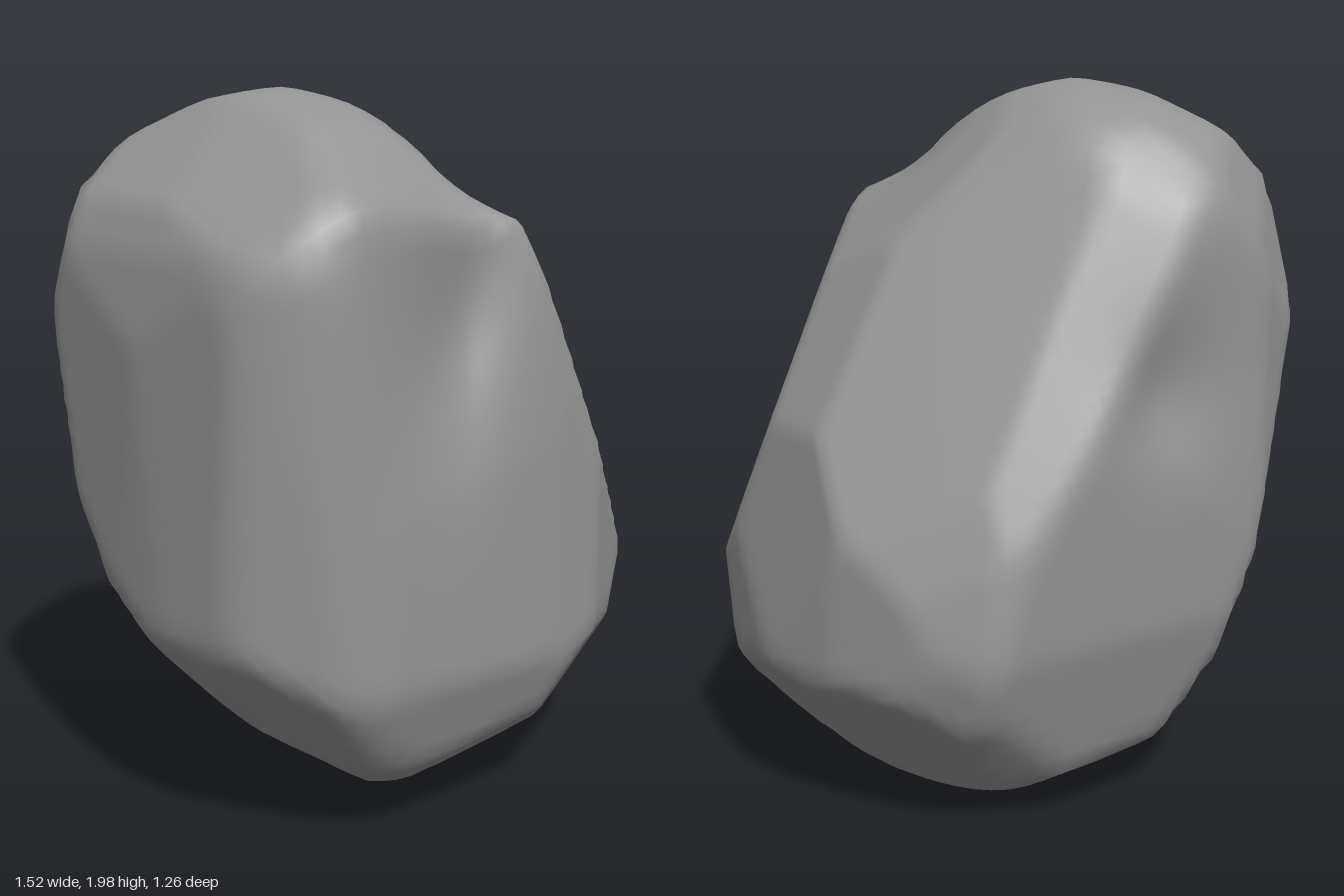
import * as THREE from 'three';
import { mergeVertices } from 'three/addons/utils/BufferGeometryUtils.js';

// The stone is carved by six prismatic cuts. Each cut has a direction
// (azimuth, elevation in degrees) and a convex outline across it, as
// x, y pairs around the stone's middle.
const LENGTHWISE = [0.05, -1, 0.27, -0.97, 0.44, -0.93, 0.76, -0.57, 0.65, 0.07,
  0.38, 0.55, 0.02, 0.96, -0.25, 1, -0.4, 0.965, -0.68, 0.7, -0.73, 0.58,
  -0.77, 0.34, -0.76, -0.44, -0.4, -0.87, -0.22, -0.93];
const CROSSWISE = [-0.09, -1, 0.27, -0.97, 0.36, -0.94, 0.5, -0.85, 0.6, -0.47,
  0.63, 0, 0.64, 0.3, 0.62, 0.71, 0.52, 0.86, 0.34, 0.955, 0, 1, -0.32, 0.905,
  -0.605, 0.71, -0.64, -0.22, -0.64, -0.53, -0.55, -0.8, -0.46, -0.93, -0.27, -0.97];
const PLAN = [-0.73, 0.4, -0.64, 0.51, -0.44, 0.61, 0.08, 0.64, 0.38, 0.625,
  0.53, 0.6, 0.71, 0.18, 0.76, -0.06, 0.68, -0.45, 0.4, -0.61, 0.2, -0.63,
  -0.37, -0.635, -0.58, -0.6, -0.68, -0.54, -0.73, -0.46, -0.77, -0.05];
const DIAGONAL_A = [-0.24, 1.02, -0.1, 1.03, 0.04, 1.02, 0.19, 0.98, 0.32, 0.82,
  0.71, -0.12, 0.77, -0.37, 0.7, -0.61, 0.36, -0.94, 0.22, -1.01, -0.07, -1.01,
  -0.43, -0.93, -0.58, -0.83, -0.78, -0.57, -0.85, 0.54, -0.78, 0.65];
const DIAGONAL_B = [-0.02, 0.87, 0.08, 0.89, 0.38, 0.86, 0.74, 0.73, 0.85, 0.5,
  0.81, -0.42, 0.79, -0.48, 0.58, -0.71, -0.11, -0.99, -0.46, -0.88, -0.77, -0.53,
  -0.72, -0.23, -0.66, -0.05, -0.24, 0.68];
const DIAGONAL_C = [0.17, 0.89, 0.43, 0.89, 0.61, 0.77, 0.72, 0.56, 0.81, 0.25,
  0.73, -0.24, 0.62, -0.49, 0.48, -0.66, 0.02, -1.03, -0.11, -1.03, -0.56, -0.77,
  -0.76, -0.47, -0.8, -0.26, -0.49, 0.47, 0.01, 0.83];

const CUTS = [
  makeCut(0, 0, LENGTHWISE),
  makeCut(90, 0, CROSSWISE),
  makeCut(0, 90, PLAN),
  makeCut(45, 25, DIAGONAL_A),
  makeCut(225, 25, DIAGONAL_B),
  makeCut(135, -25, DIAGONAL_C),
];
const EDGE_SHARPNESS = 20;
const ROUNDING_ALLOWANCE = 1.045;

// Turns an outline into plane normals n, scaled so that n . p = 1 on the plane
function makeCut(azimuth, elevation, outline) {
  const a = THREE.MathUtils.degToRad(azimuth);
  const e = THREE.MathUtils.degToRad(elevation);
  const across = new THREE.Vector3(Math.cos(a), 0, -Math.sin(a));
  const up = new THREE.Vector3(
    -Math.sin(e) * Math.sin(a), Math.cos(e), -Math.sin(e) * Math.cos(a));
  const planes = [];
  for (let i = 0; i < outline.length; i += 2) {
    const j = (i + 2) % outline.length;
    const nx = outline[j + 1] - outline[i + 1];
    const ny = outline[i] - outline[j];
    const d = nx * outline[i] + ny * outline[i + 1];
    planes.push(new THREE.Vector3()
      .addScaledVector(across, nx / d).addScaledVector(up, ny / d));
  }
  return planes;
}

// Moves a point along its ray onto the carved surface: the edges where cuts
// meet are rounded, and no point is left outside a cut
function carve(p) {
  const reaches = CUTS.map((planes) => Math.max(0, ...planes.map((n) => n.dot(p))));
  const sum = reaches.reduce((total, r) => total + r ** EDGE_SHARPNESS, 0);
  const rounded = ROUNDING_ALLOWANCE * sum ** (-1 / EDGE_SHARPNESS);
  return p.multiplyScalar(Math.min(rounded, 1 / Math.max(...reaches)));
}

const bump = (d, width) => Math.exp(-((d / width) ** 2));

// Presses the hollows into the surface
function weather(p) {
  // Slanting groove from the front shoulder down, steeper on its +x side
  const front = THREE.MathUtils.smoothstep(p.z, 0.1, 0.45);
  const side = p.x + 0.16 - p.y * 0.2;
  const groove = bump(side, side > 0 ? 0.13 : 0.24) * bump(p.y - 0.48, 0.38);
  // Shallow hollow in the back
  const back = THREE.MathUtils.smoothstep(-p.z, 0.1, 0.45);
  const hollow = bump(p.x + 0.1, 0.18) * bump(p.y - 0.2, 0.2);
  return p.multiplyScalar(1 - 0.13 * front * groove - 0.08 * back * hollow);
}

function stoneGeometry() {
  const ball = new THREE.IcosahedronGeometry(1, 22);
  ball.deleteAttribute('normal');
  ball.deleteAttribute('uv');
  const geo = mergeVertices(ball, 1e-4);
  const pos = geo.attributes.position;
  const p = new THREE.Vector3();
  for (let i = 0; i < pos.count; i++) {
    weather(carve(p.fromBufferAttribute(pos, i)));
    pos.setXYZ(i, p.x, p.y, p.z);
  }
  geo.computeBoundingBox();
  geo.translate(0, -geo.boundingBox.min.y, 0);
  geo.computeVertexNormals();
  return geo;
}

export function createModel() {
  const group = new THREE.Group();
  group.name = 'rock';
  const stone = new THREE.Mesh(
    stoneGeometry(), new THREE.MeshStandardMaterial({ color: 0x959595 }));
  stone.name = 'stone';
  group.add(stone);
  return group;
}
